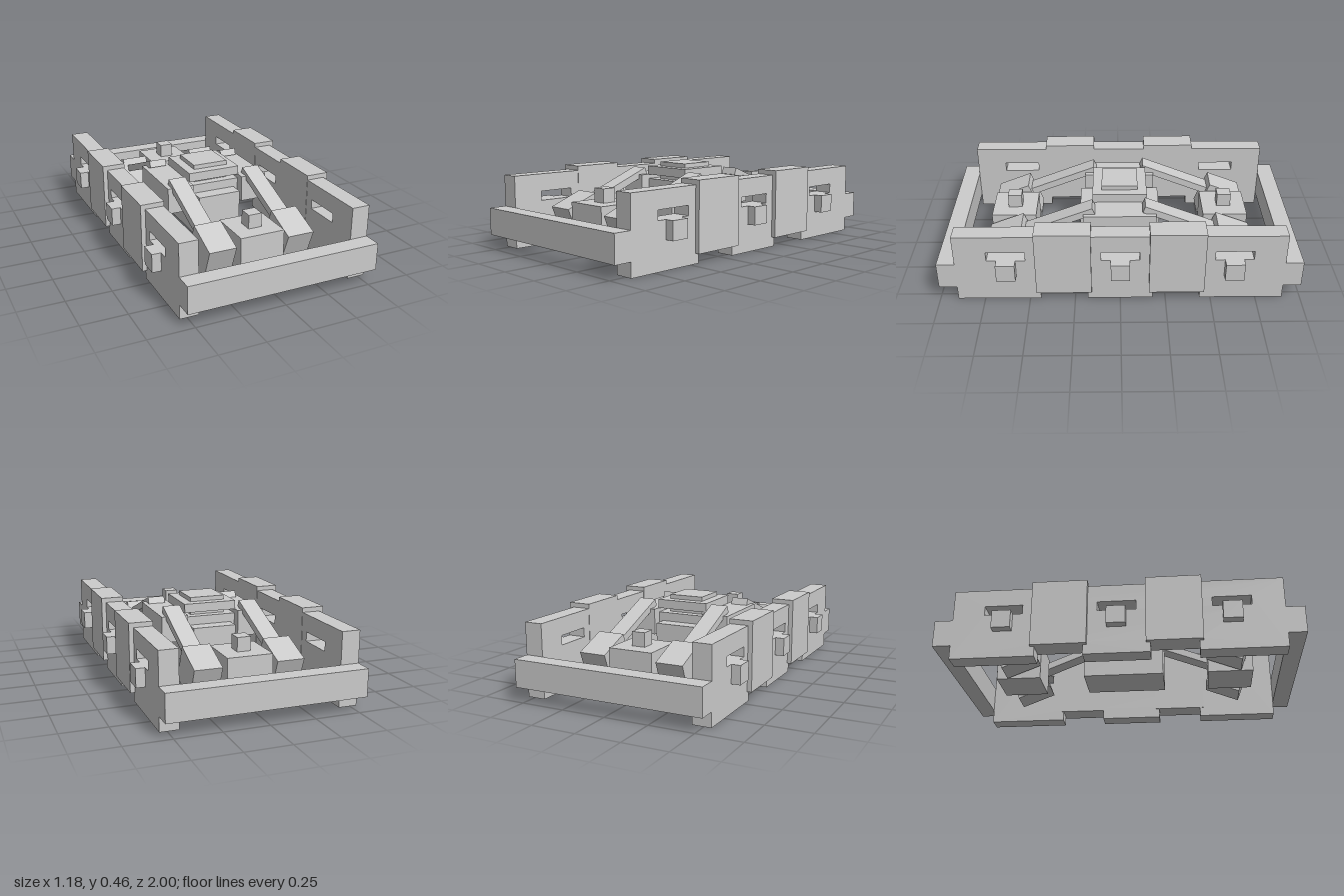
import * as THREE from 'three';

const material = new THREE.MeshStandardMaterial({ color: 0xcccccc, flatShading: true });

export function createModel() {
  const model = new THREE.Group();

  // Box given by its lower and upper limits on each axis
  function box(name, [x0, x1], [y0, y1], [z0, z1]) {
    const mesh = new THREE.Mesh(new THREE.BoxGeometry(x1 - x0, y1 - y0, z1 - z0), material);
    mesh.name = name;
    mesh.position.set((x0 + x1) / 2, (y0 + y1) / 2, (z0 + z1) / 2);
    model.add(mesh);
  }

  // Profile of [z, y] points extruded along x, from x0 to x1
  function profile(name, points, x0, x1, holes = []) {
    const toVectors = (list) => list.map(([z, y]) => new THREE.Vector2(z, y));
    const shape = new THREE.Shape(toVectors(points));
    for (const hole of holes) shape.holes.push(new THREE.Path(toVectors(hole)));
    const geometry = new THREE.ExtrudeGeometry(shape, { depth: x1 - x0, bevelEnabled: false });
    geometry.rotateY(-Math.PI / 2).translate(x1, 0, 0);
    const mesh = new THREE.Mesh(geometry, material);
    mesh.name = name;
    model.add(mesh);
  }

  // Side plates with notched lower edge and three windows
  const outline = [
    [-0.9, 0], [-0.44, 0], [-0.44, 0.07], [-0.18, 0.07], [-0.18, 0],
    [0.18, 0], [0.18, 0.07], [0.44, 0.07], [0.44, 0], [0.9, 0],
    [0.9, 0.41], [-0.9, 0.41],
  ];
  const axleZ = [-0.62, 0, 0.62];
  const windows = axleZ.map((z) => [
    [z - 0.105, 0.257], [z - 0.105, 0.31], [z + 0.105, 0.31], [z + 0.105, 0.257],
  ]);
  // x limits for the left (+1) or right (-1) side
  const span = (side, a, b) => (side > 0 ? [a, b] : [-b, -a]);

  for (const side of [1, -1]) {
    profile('sidePlate', outline, ...span(side, 0.437, 0.54), windows);
    for (const z of axleZ) {
      box('axleBox', span(side, 0.5, 0.59), [0.155, 0.257], [z - 0.052, z + 0.052]);
    }
    for (const z of [-0.31, 0.31]) {
      box('sidePad', span(side, 0.435, 0.565), [0.055, 0.436], [z - 0.152, z + 0.152]);
    }
    box('springSeat', span(side, 0.153, 0.307), [0.235, 0.385], [-0.205, 0.205]);

    for (const end of [1, -1]) {
      const mirrored = (points) => points.map(([z, y]) => [z * end, y]);
      // Tilted cylinder block
      profile('tiltedCylinder', mirrored([[0.555, 0.312], [0.747, 0.237], [0.672, 0.045], [0.48, 0.12]]),
        ...span(side, 0.153, 0.307));
      // Sloping arm, the rear one sits slightly higher
      const lift = end > 0 ? 0 : 0.01;
      const shift = end > 0 ? 0 : -0.012;
      profile('slopingArm', mirrored([
        [0.155 + shift, 0.423 + lift], [0.56, 0.266], [0.545, 0.228], [0.14 + shift, 0.385 + lift],
      ]), ...span(side, 0.182, 0.282));
    }
  }

  // End beams and the end blocks with their pegs
  for (const end of [1, -1]) {
    const z = end * 0.95;
    box('endBeam', [-0.54, 0.54], [0.08, 0.232], [z - 0.05, z + 0.05]);
    const c = end * 0.615;
    box('axleBlock', [-0.127, 0.127], [0.055, 0.282], [c - 0.128, c + 0.128]);
    box('peg', [-0.038, 0.038], [0.27, 0.36], [c - 0.04, c + 0.04]);
  }

  // Central block stacked up to the pivot plate
  box('centreBlock', [-0.127, 0.127], [0.055, 0.31], [-0.23, 0.23]);
  box('centreBolster', [-0.155, 0.155], [0.235, 0.36], [-0.15, 0.15]);
  box('pivotNeck', [-0.103, 0.103], [0.35, 0.39], [-0.103, 0.103]);
  box('pivotPlate', [-0.155, 0.155], [0.385, 0.436], [-0.155, 0.155]);
  box('pivotCap', [-0.103, 0.103], [0.43, 0.461], [-0.103, 0.103]);

  return model;
}
